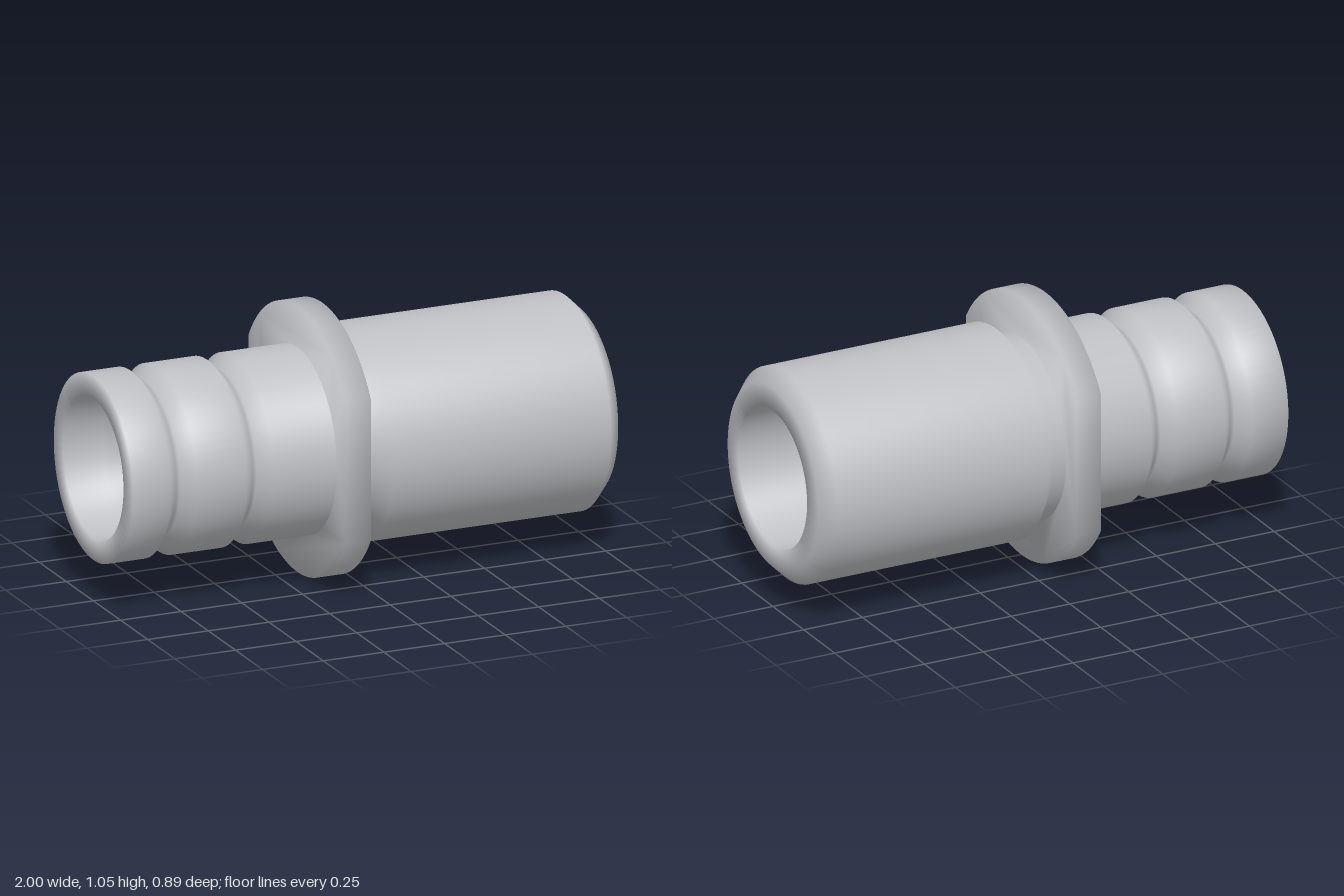
import * as THREE from 'three';
import { mergeVertices } from 'three/addons/utils/BufferGeometryUtils.js';

const AXIS_Y = 0.527;

// Weld vertices so that shading flows softly over the edges
function smooth(geometry) {
  geometry.deleteAttribute('uv');
  geometry.deleteAttribute('normal');
  const welded = mergeVertices(geometry, 1e-4);
  welded.computeVertexNormals();
  return welded;
}

// Turned tube: closed profile of [x, radius], outside first, then back through the bore
function tubeGeometry() {
  const groove = (x) => [[x - 0.055, 0.365], [x - 0.008, 0.312], [x + 0.008, 0.312], [x + 0.055, 0.365]];
  const outside = [
    [-1, 0.365], ...groove(-0.79), ...groove(-0.475),
    [0, 0.365], [0.05, 0.42], [0.945, 0.42], [1, 0.365],
  ];
  const bore = [
    [1, 0.277], [0.1, 0.277], [0.06, 0.237], [-0.1, 0.237], [-0.15, 0.185],
    [-0.5, 0.185], [-0.55, 0.237], [-0.8, 0.237], [-0.84, 0.277], [-1, 0.277],
  ];
  const profile = [...outside, ...bore, outside[0]].map(([x, r]) => new THREE.Vector2(r, x));
  return smooth(new THREE.LatheGeometry(profile, 64).rotateZ(-Math.PI / 2));
}

// Round collar with two flat sides, extruded along the tube axis
function collarGeometry() {
  const radius = 0.527, cut = Math.acos(0.447 / radius);
  const shape = new THREE.Shape();
  shape.absarc(0, 0, radius, cut, Math.PI - cut, false);
  shape.absarc(0, 0, radius, Math.PI + cut, 2 * Math.PI - cut, false);
  shape.closePath();
  const hole = new THREE.Path();
  hole.absarc(0, 0, 0.355, 0, Math.PI * 2, true);
  shape.holes.push(hole);
  const geometry = smooth(
    new THREE.ExtrudeGeometry(shape, { depth: 0.104, bevelEnabled: false, curveSegments: 24 })
      .rotateY(Math.PI / 2).translate(-0.16, 0, 0)
  );
  // Soft normals leaning outwards from the axis
  const p = geometry.attributes.position, n = new THREE.Vector3();
  for (let i = 0; i < p.count; i++) {
    n.set(0, p.getY(i), p.getZ(i)).normalize();
    n.x = p.getX(i) > -0.108 ? 1 : -1;
    n.normalize();
    geometry.attributes.normal.setXYZ(i, n.x, n.y, n.z);
  }
  return geometry;
}

export function createModel() {
  const group = new THREE.Group();
  group.name = 'hoseConnector';
  const grey = new THREE.MeshStandardMaterial({ color: 0xbfc0c4 });
  grey.name = 'light grey';

  const add = (name, geometry) => {
    const mesh = new THREE.Mesh(geometry, grey);
    mesh.name = name;
    mesh.position.y = AXIS_Y;
    group.add(mesh);
  };
  add('groovedTube', tubeGeometry());
  add('collar', collarGeometry());
  return group;
}
